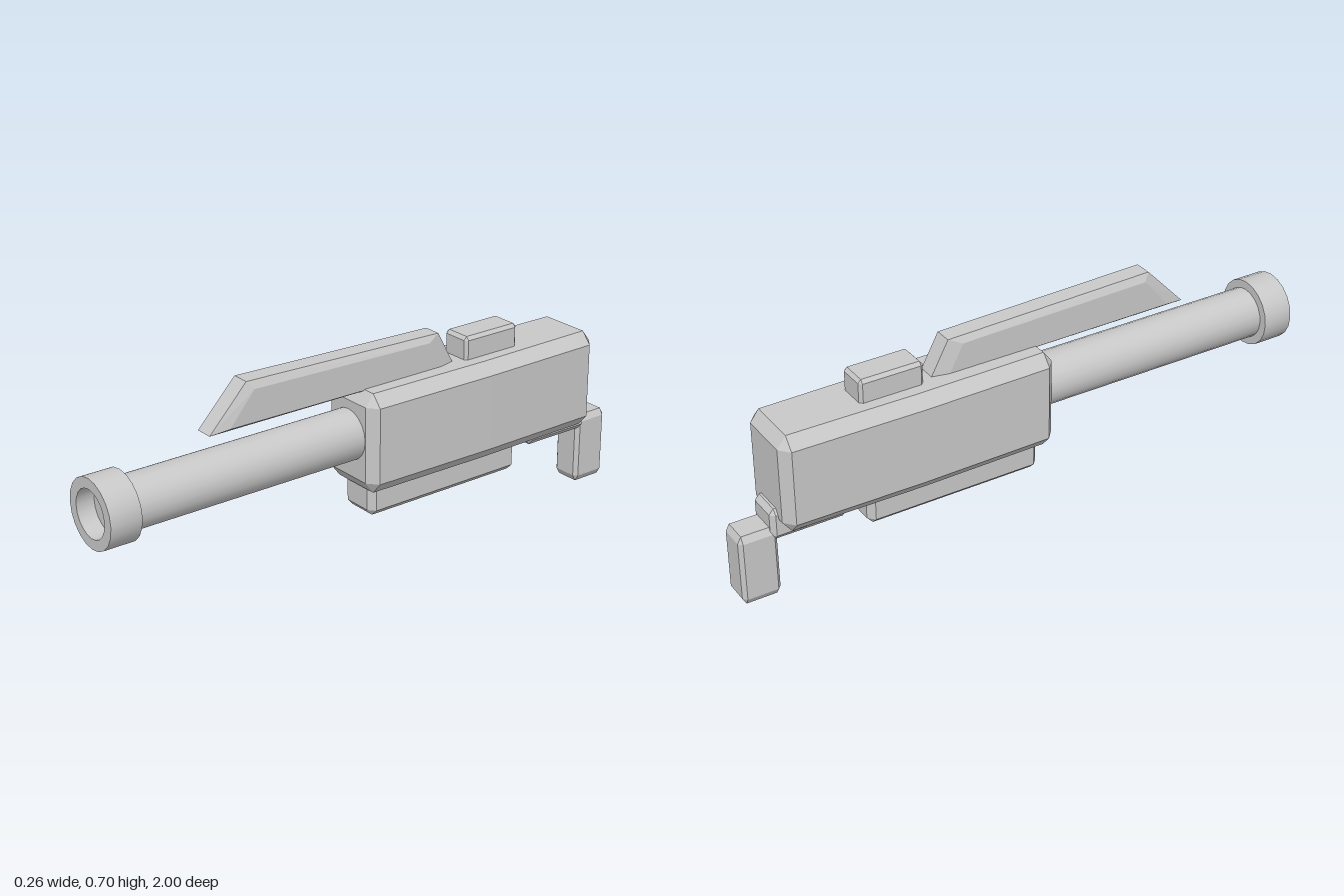
import * as THREE from 'three';
import { toCreasedNormals } from 'three/addons/utils/BufferGeometryUtils.js';
import { ConvexGeometry } from 'three/addons/geometries/ConvexGeometry.js';

const grey = new THREE.MeshStandardMaterial({ color: 0xc8c8c8 });
grey.name = 'grey';

function addMesh(group, name, geometry) {
  const mesh = new THREE.Mesh(geometry, grey);
  mesh.name = name;
  group.add(mesh);
  return mesh;
}

// Box with all edges chamfered; bulge widens the middle of the long sides.
function chamferBox(halfWidth, [y0, y1], [z0, z1], [bx, by, bz], bulge = 0) {
  const cy = (y0 + y1) / 2, cz = (z0 + z1) / 2;
  const hy = (y1 - y0) / 2, hz = (z1 - z0) / 2;
  const points = [];
  const add = (x, y, z) => points.push(new THREE.Vector3(x, cy + y, cz + z));
  for (const sx of [-1, 1]) for (const sy of [-1, 1]) {
    for (const sz of [-1, 1]) {
      add(sx * halfWidth, sy * (hy - by), sz * (hz - bz));
      add(sx * (halfWidth - bx), sy * hy, sz * (hz - bz));
      add(sx * (halfWidth - bx), sy * (hy - by), sz * hz);
    }
    if (bulge) {
      add(sx * (halfWidth + bulge), sy * (hy - by), 0);
      add(sx * (halfWidth - bx + bulge), sy * hy, 0);
    }
  }
  return toCreasedNormals(new ConvexGeometry(points), 0.3);
}

// Top fin: side profile in (z, y), with a smaller profile on its two flanks.
function finGeometry() {
  const rim = [[0.605, 0.565], [0.47, 0.705], [-0.265, 0.685], [-0.33, 0.565]];
  const flank = [[0.54, 0.575], [0.45, 0.68], [-0.22, 0.665], [-0.27, 0.57]];
  const points = [];
  for (const s of [-1, 1]) {
    for (const [z, y] of rim) points.push(new THREE.Vector3(s * 0.03, y, z));
    for (const [z, y] of flank) points.push(new THREE.Vector3(s * 0.043, y, z));
  }
  return new ConvexGeometry(points);
}

// Round barrel with a flared, recessed end, turned about z.
function barrelGeometry() {
  const profile = [
    [0.085, -0.02], [0.085, 0.895], [0.113, 0.895], [0.113, 1],
    [0.078, 1], [0.078, 0.94], [0, 0.94],
  ].map(([r, z]) => new THREE.Vector2(r, z));
  const lathe = new THREE.LatheGeometry(profile, 20);
  lathe.rotateX(Math.PI / 2);
  lathe.translate(0, 0.42, 0);
  return toCreasedNormals(lathe, 0.6);
}

export function createModel() {
  const model = new THREE.Group();
  model.name = 'model';
  addMesh(model, 'body', chamferBox(0.122, [0.24, 0.575], [-0.873, 0.07], [0.035, 0.04, 0.03], 0.006));
  addMesh(model, 'barrel', barrelGeometry());
  addMesh(model, 'topFin', finGeometry());
  addMesh(model, 'topBlock', chamferBox(0.053, [0.55, 0.652], [-0.58, -0.362], [0.01, 0.012, 0.01]));
  addMesh(model, 'underBlock', chamferBox(0.073, [0.142, 0.27], [-0.575, 0.035], [0.023, 0.022, 0.02]));
  addMesh(model, 'rearBracket', chamferBox(0.062, [0.202, 0.31], [-0.896, -0.64], [0.015, 0.018, 0.015]));
  addMesh(model, 'rearGrip', chamferBox(0.053, [0, 0.245], [-1, -0.873], [0.013, 0.022, 0.012]));
  return model;
}
